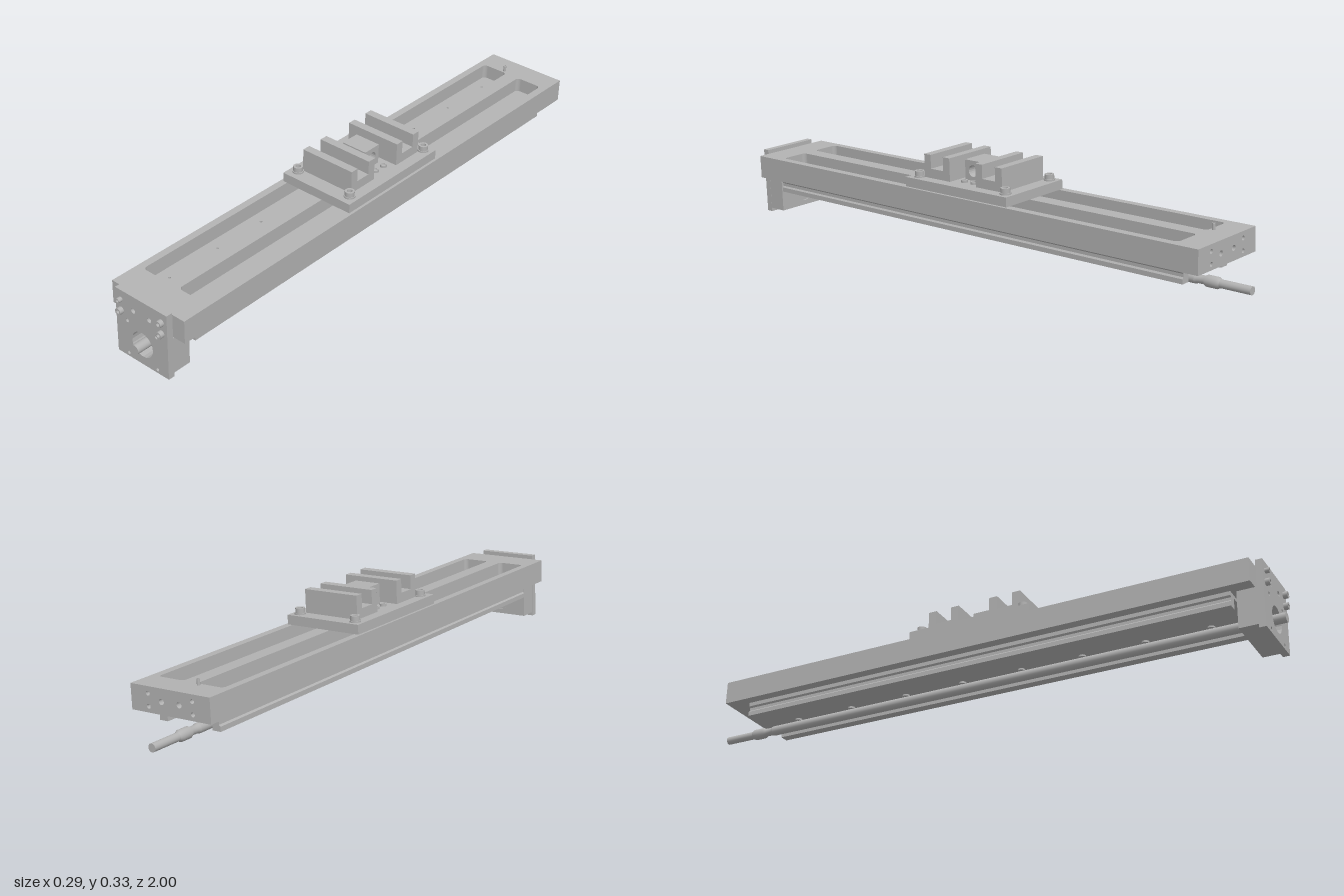
import * as THREE from 'three';

const metal = new THREE.MeshStandardMaterial({ color: 0xb2b2b2 });
metal.name = 'machined grey';

const CX = -0.0085; // centreline of the stage before it is tilted

export function createModel() {
  const root = new THREE.Group();
  root.name = 'linearStage';
  const stage = new THREE.Group();
  stage.name = 'tiltedStage';
  stage.position.x = 0;
  stage.rotation.z = -0.0436;
  root.add(stage);

  const add = (name, geo, x = 0, y = 0, z = 0) => {
    const m = new THREE.Mesh(geo, metal);
    m.name = name;
    m.position.set(x, y, z);
    stage.add(m);
    return m;
  };
  const box = (name, x0, x1, y0, y1, z0, z1) =>
    add(name, new THREE.BoxGeometry(x1 - x0, y1 - y0, z1 - z0), CX + (x0 + x1) / 2, (y0 + y1) / 2, (z0 + z1) / 2);
  const rect = (x0, x1, y0, y1) => new THREE.Shape([[x0, y0], [x1, y0], [x1, y1], [x0, y1]].map(p => new THREE.Vector2(...p)));
  const circle = (x, y, r) => new THREE.Path().absarc(x, y, r, 0, Math.PI * 2, true);
  const roundRect = (x0, x1, y0, y1, r) => {
    const p = new THREE.Path();
    p.absarc(x1 - r, y1 - r, r, 0, Math.PI / 2);
    p.absarc(x0 + r, y1 - r, r, Math.PI / 2, Math.PI);
    p.absarc(x0 + r, y0 + r, r, Math.PI, Math.PI * 1.5);
    p.absarc(x1 - r, y0 + r, r, Math.PI * 1.5, Math.PI * 2);
    p.closePath();
    return p;
  };
  const extrude = (shape, depth) => new THREE.ExtrudeGeometry(shape, { depth, bevelEnabled: false, curveSegments: 10 });
  // Outline in x and y, extruded along z
  const plateZ = (name, shape, z0, z1) => add(name, extrude(shape, z1 - z0), CX, 0, z0);
  // Outline in x and -z, extruded upwards
  const plateY = (name, shape, y0, y1) => add(name, extrude(shape, y1 - y0).rotateX(-Math.PI / 2), CX, y0, 0);
  // Outline in z and y, extruded along x
  const plateX = (name, shape, x0, x1) => add(name, extrude(shape, x1 - x0).rotateY(-Math.PI / 2), CX + x1, 0, 0);
  const turned = (name, points, x, y, z) =>
    add(name, new THREE.LatheGeometry(points.map(p => new THREE.Vector2(...p)), 24), x, y, z);
  // Cap screw with a recessed socket, standing along y
  const capScrew = (name, r, h, x, y, z) =>
    turned(name, [[r, 0], [r, 0], [r, h], [r, h], [r * 0.55, h], [r * 0.55, h], [r * 0.5, h * 0.5], [r * 0.5, h * 0.5], [0, h * 0.5]], x, y, z);

  // Main beam: pierced floor layer, pocketed top layer and drilled back end
  const B = 0.1435;
  const floor = rect(-B, B, -0.942, 0.895);
  for (const [x, z] of [[-0.08, -0.76], [-0.08, -0.56], [0.095, -0.56], [-0.08, -0.37], [-0.08, 0.39],
    [0.095, 0.39], [-0.08, 0.58], [-0.08, 0.78], [0.095, 0.78]]) floor.holes.push(circle(x, -z, 0.004));
  plateY('beamFloor', floor, 0.139, 0.168);
  const top = rect(-B, B, -0.942, 0.895);
  top.holes.push(roundRect(-0.119, -0.026, -0.844, 0.828, 0.014), roundRect(0.024, 0.117, -0.844, 0.828, 0.014));
  plateY('beamTop', top, 0.168, 0.216);
  const end = rect(-B, B, 0.139, 0.216);
  for (const [x, y, r] of [[-0.08, 0.195, 0.007], [-0.08, 0.157, 0.007], [0.08, 0.195, 0.007], [0.08, 0.157, 0.007],
    [-0.032, 0.177, 0.009], [0.032, 0.177, 0.009]]) end.holes.push(circle(x, y, r));
  plateZ('beamBackEnd', end, -0.915, -0.895);
  capScrew('stopPin', 0.005, 0.02, -0.05, 0.216, -0.84);

  // Grooved U-shaped rail beneath the beam, with two rows of bolt heads
  const side = [[0.111, 0.139], [0.111, 0.126], [0.106, 0.121], [0.106, 0.111], [0.111, 0.106], [0.111, 0.091], [0.082, 0.091], [0.082, 0.128]];
  const rail = new THREE.Shape([...side, ...side.map(([x, y]) => [-x, y]).reverse()].map(p => new THREE.Vector2(...p)));
  plateZ('guideRail', rail, -0.84, 0.87);
  for (let i = 0; i < 8; i++) for (const s of [-1, 1]) {
    capScrew('railBolt', 0.012, 0.006, CX + s * 0.052, 0.128, -0.75 + i * 0.214).rotation.x = Math.PI;
  }

  // Lead screw, stepped at both ends
  const shaft = [[0, -1], [0.013, -1], [0.013, -1], [0.013, -0.895], [0.013, -0.895], [0.018, -0.885], [0.018, -0.85],
    [0.013, -0.84], [0.013, -0.82], [0.016, -0.81], [0.016, -0.81], [0.016, 0.9], [0.016, 0.9], [0.0155, 1], [0.0155, 1], [0, 1]];
  turned('leadScrew', shaft, CX, 0.075, 0).rotation.x = Math.PI / 2;

  // Bearing block and motor mounting plate at the front
  const block = rect(-0.101, 0.102, 0.017, 0.139);
  block.holes.push(circle(0, 0.075, 0.042));
  plateZ('bearingBlock', block, 0.885, 0.947);
  const bearing = add('bearing', new THREE.CylinderGeometry(0.042, 0.042, 0.03, 28), CX, 0.075, 0.905);
  bearing.rotation.x = Math.PI / 2;
  const face = rect(-0.102, 0.1025, 0.0046, 0.228);
  face.holes.push(circle(0, 0.075, 0.042));
  for (const s of [-1, 1]) {
    face.holes.push(circle(s * 0.032, 0.178, 0.0085), circle(s * 0.058, 0.132, 0.006), circle(s * 0.058, 0.017, 0.006));
    for (const y of [0.158, 0.196]) {
      const r = s < 0 && y > 0.17 ? 0.008 : 0.011;
      capScrew('plateScrew', r, 0.015, CX + s * 0.081, y, 0.968).rotation.x = Math.PI / 2;
    }
  }
  plateZ('mountingPlate', face, 0.947, 0.969);

  // Carriage plate with corner screws
  box('carriagePlate', -0.1345, 0.1345, 0.216, 0.247, -0.203, 0.228);
  for (const x of [-0.105, 0.105]) for (const z of [-0.175, 0.192]) {
    add('screwWasher', new THREE.CylinderGeometry(0.018, 0.018, 0.005, 24), CX + x, 0.2495, z);
    capScrew('carriageScrew', 0.0155, 0.02, CX + x, 0.2475, z);
  }
  for (const x of [-0.072, 0.072]) for (const z of [-0.013, 0.027]) capScrew('centreScrew', 0.011, 0.008, CX + x, 0.247, z);

  // Two slotted clamp blocks
  for (const z of [-0.1, 0.121]) {
    const u = new THREE.Shape([[-0.055, 0.247], [0.055, 0.247], [0.055, 0.3235], [0.027, 0.3235], [0.027, 0.278],
      [-0.027, 0.278], [-0.027, 0.3235], [-0.055, 0.3235]].map(([a, y]) => new THREE.Vector2(a + z, y)));
    plateX('clampBlock', u, -0.0985, 0.0975);
  }

  // Bored nut block between the clamps
  const nut = rect(-0.02, 0.047, 0.247, 0.313);
  nut.holes.push(circle(0.0135, 0.279, 0.019));
  plateX('nutBlock', nut, -0.046, 0.045);

  return root;
}
